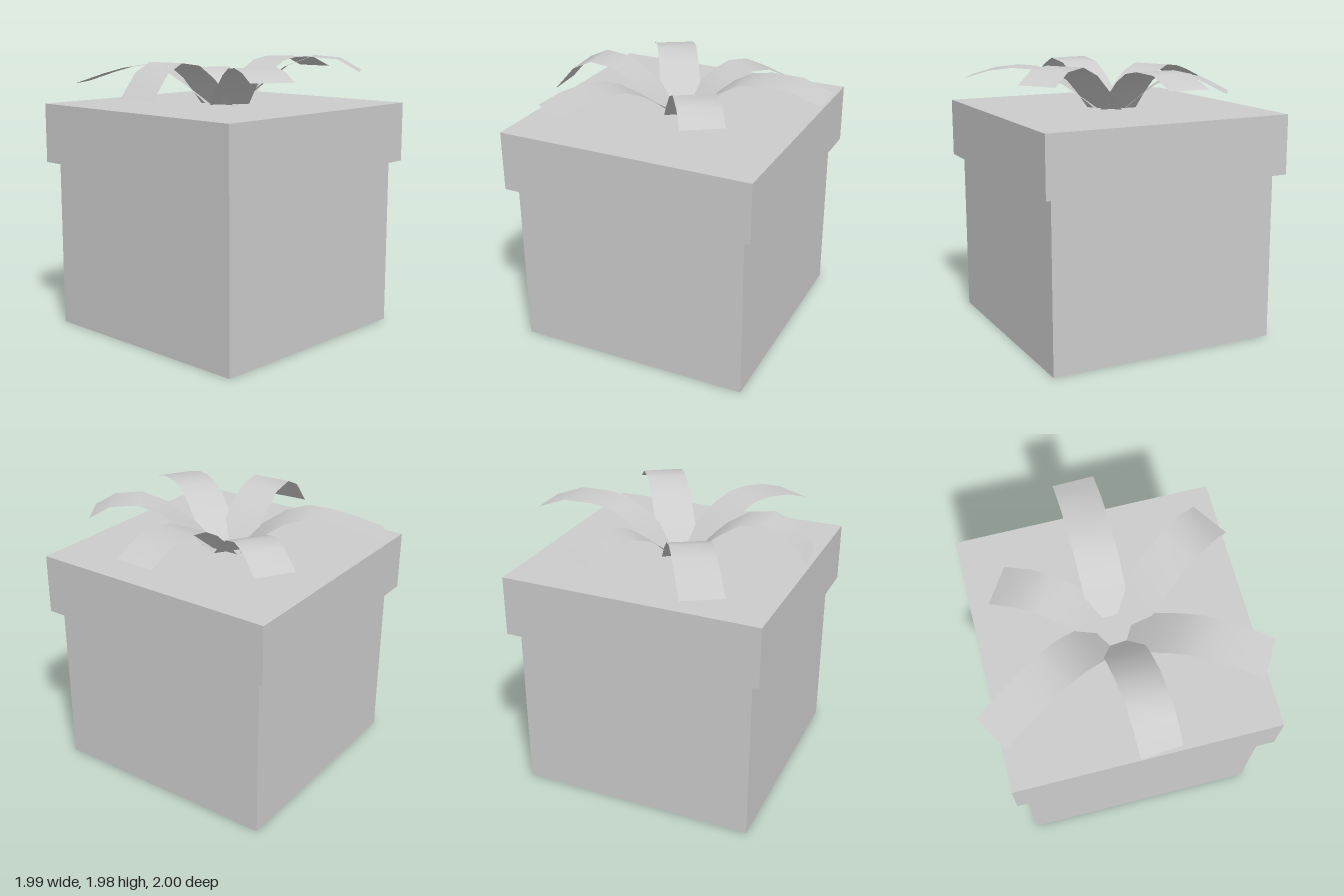
import * as THREE from 'three';

const CENTRE = { x: -0.06, z: 0.02 };
const RIBBON_WIDTH = 0.29;

// Each ribbon: tip position on plan, then [distance from centre, height] along its arch
const RIBBONS = [
  { name: 'ribbonLeft', tip: [0.99, -0.005], arch: [[0.1, 1.63], [0.22, 1.75], [0.34, 1.85], [0.47, 1.92], [0.62, 1.945], [0.84, 1.94], [1.05, 1.86]] },
  { name: 'ribbonFrontLeft', tip: [0.465, 0.825], arch: [[0.1, 1.63], [0.23, 1.745], [0.44, 1.905], [0.62, 1.975], [0.81, 1.96], [0.96, 1.875]] },
  { name: 'ribbonFrontRight', tip: [-0.59, 0.93], arch: [[0.1, 1.63], [0.25, 1.75], [0.42, 1.86], [0.56, 1.915], [0.7, 1.925], [0.87, 1.905], [1.05, 1.85]] },
  { name: 'ribbonRight', tip: [-0.985, 0.1], arch: [[0.1, 1.63], [0.2, 1.73], [0.3, 1.825], [0.46, 1.925], [0.64, 1.95], [0.78, 1.885], [0.93, 1.715]] },
  { name: 'ribbonBackRight', tip: [-0.61, -0.93], arch: [[0.1, 1.63], [0.24, 1.755], [0.4, 1.86], [0.56, 1.905], [0.72, 1.885], [0.88, 1.84], [1.1, 1.765]] },
  { name: 'ribbonBackLeft', tip: [0.4, -0.68], arch: [[0.1, 1.63], [0.22, 1.735], [0.34, 1.82], [0.49, 1.865], [0.64, 1.85], [0.84, 1.75]] },
];

// Box placed by its extents
function block(name, [x0, x1], [y0, y1], [z0, z1], material) {
  const mesh = new THREE.Mesh(new THREE.BoxGeometry(x1 - x0, y1 - y0, z1 - z0), material);
  mesh.position.set((x0 + x1) / 2, (y0 + y1) / 2, (z0 + z1) / 2);
  mesh.name = name;
  return mesh;
}

// Flat strip bent along its arch, running out along +x before it is turned
function ribbon({ name, tip, arch }, material) {
  const geometry = new THREE.PlaneGeometry(1, RIBBON_WIDTH, arch.length - 1, 1);
  geometry.rotateX(-Math.PI / 2);
  const position = geometry.attributes.position;
  for (let i = 0; i < position.count; i++) {
    const [r, y] = arch[i % arch.length];
    position.setX(i, r);
    position.setY(i, y);
  }
  geometry.computeVertexNormals();
  const mesh = new THREE.Mesh(geometry, material);
  mesh.position.set(CENTRE.x, 0, CENTRE.z);
  mesh.rotation.y = -Math.atan2(tip[1] - CENTRE.z, tip[0] - CENTRE.x);
  mesh.name = name;
  return mesh;
}

export function createModel() {
  const card = new THREE.MeshStandardMaterial({ color: 0xcccccc });
  const satin = new THREE.MeshStandardMaterial({ color: 0xcccccc, side: THREE.DoubleSide });

  const model = new THREE.Group();
  model.name = 'giftBox';

  // Box and overhanging lid
  model.add(block('boxBody', [-0.918, 0.778], [0, 1.207], [-0.825, 0.871], card));
  model.add(block('lid', [-0.985, 0.845], [1.207, 1.632], [-0.893, 0.933], card));

  // Bow of six loose ribbon ends
  const bow = new THREE.Group();
  bow.name = 'bow';
  for (const spec of RIBBONS) bow.add(ribbon(spec, satin));
  model.add(bow);

  return model;
}
